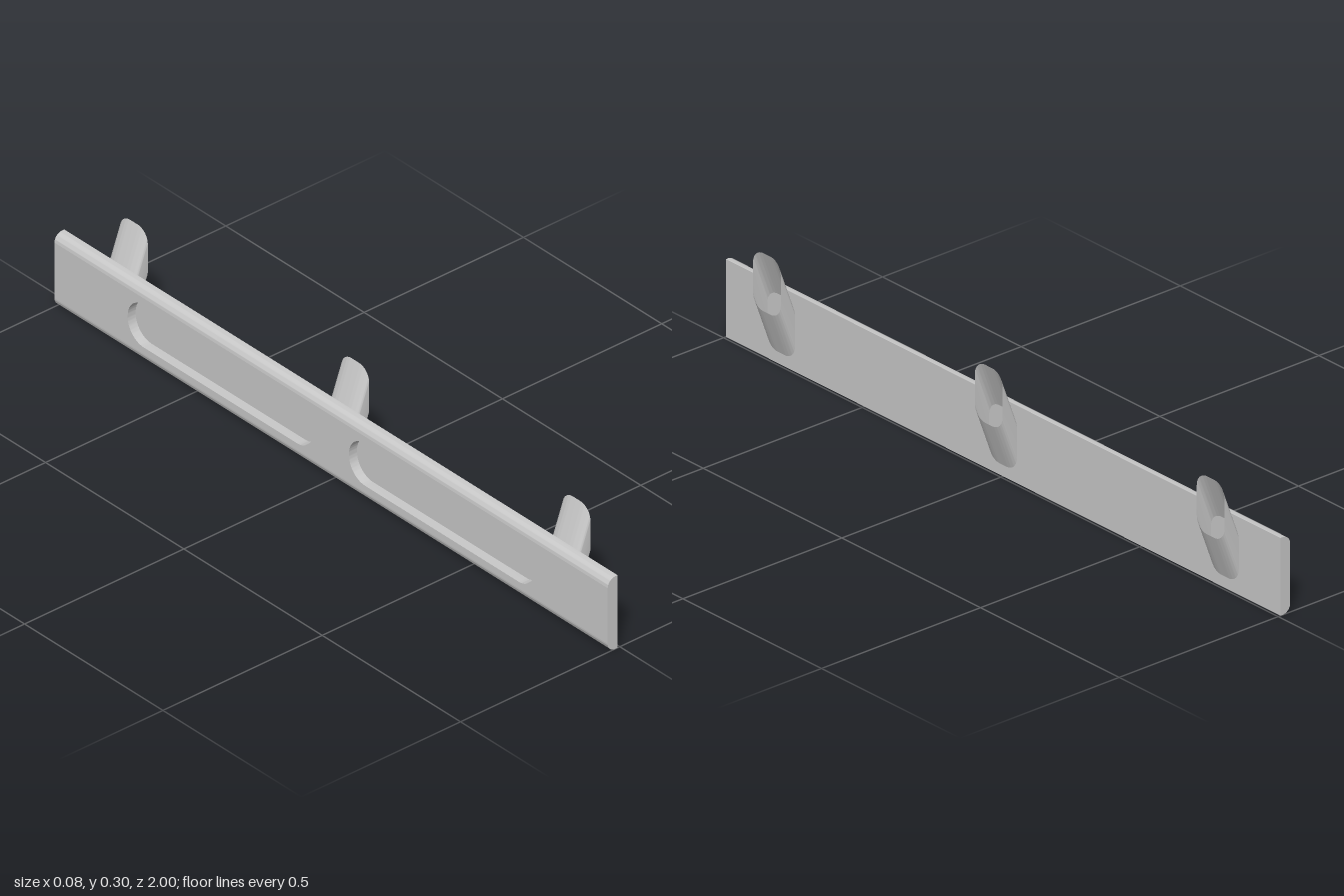
import * as THREE from 'three';
import { toCreasedNormals } from 'three/addons/utils/BufferGeometryUtils.js';

const BACK = -0.038, FRONT = -0.007, TIP = 0.038; // x planes
const HEIGHT = 0.205, ROUND = 0.024, POCKET_DEPTH = 0.025;

// Rounded rectangle centred on (cx, cy)
function roundedRect(cx, cy, w, h, r, C = THREE.Shape) {
  const s = new C(), x = w / 2 - r, y = h / 2 - r;
  s.absarc(cx + x, cy + y, r, 0, Math.PI / 2);
  s.absarc(cx - x, cy + y, r, Math.PI / 2, Math.PI);
  s.absarc(cx - x, cy - y, r, Math.PI, Math.PI * 1.5);
  s.absarc(cx + x, cy - y, r, Math.PI * 1.5, Math.PI * 2);
  s.closePath();
  return s;
}

// Strip of faces joining two matching rows of points
function loft(a, b) {
  const n = a.length, index = [];
  for (let i = 0; i < n - 1; i++) index.push(i, i + 1, n + i, i + 1, n + i + 1, n + i);
  const g = new THREE.BufferGeometry().setFromPoints([...a, ...b]);
  g.setIndex(index);
  g.computeVertexNormals();
  return g;
}

export function createModel() {
  const group = new THREE.Group();
  const grey = new THREE.MeshStandardMaterial({ color: 0xc8c8c8, side: THREE.DoubleSide });
  grey.name = 'light grey';

  const add = (geometry, name, parent = group) => {
    const mesh = new THREE.Mesh(geometry, grey);
    mesh.name = name;
    parent.add(mesh);
    return mesh;
  };

  // Rail: flat front, long back edges rounded
  const rail = new THREE.Group();
  rail.name = 'rail';
  group.add(rail);
  const profile = new THREE.Shape();
  profile.moveTo(BACK, ROUND);
  profile.absarc(BACK + ROUND, ROUND, ROUND, Math.PI, Math.PI * 1.5);
  profile.lineTo(FRONT, 0);
  profile.lineTo(FRONT, HEIGHT);
  profile.lineTo(BACK + ROUND, HEIGHT);
  profile.absarc(BACK + ROUND, HEIGHT - ROUND, ROUND, Math.PI / 2, Math.PI);
  const section = profile.getPoints(10);
  const atZ = (z) => section.map((p) => new THREE.Vector3(p.x, p.y, z));
  add(toCreasedNormals(loft(atZ(-1), atZ(1)), 0.6), 'railShell', rail);
  for (const z of [-1, 1]) add(new THREE.ShapeGeometry(profile, 10).translate(0, 0, z), 'railEnd', rail);

  // Back face with two long rounded pockets
  const face = new THREE.Shape([[-1, ROUND], [1, ROUND], [1, HEIGHT - ROUND], [-1, HEIGHT - ROUND]]
    .map(([z, y]) => new THREE.Vector2(z, y)));
  const slotArgs = (side) => [side * 0.4, HEIGHT / 2, 0.67, 0.12, 0.058];
  for (const side of [-1, 1]) {
    face.holes.push(roundedRect(...slotArgs(side), THREE.Path));
    const slot = roundedRect(...slotArgs(side));
    const rim = slot.getPoints(10);
    const atX = (x) => rim.map((p) => new THREE.Vector3(x, p.y, p.x));
    const floorX = BACK + POCKET_DEPTH;
    add(toCreasedNormals(loft(atX(BACK), atX(floorX)), 0.6), 'pocketWall', rail);
    add(new THREE.ShapeGeometry(slot, 10).rotateY(-Math.PI / 2).translate(floorX, 0, 0), 'pocketFloor', rail);
  }
  add(new THREE.ShapeGeometry(face, 10).rotateY(-Math.PI / 2).translate(BACK, 0, 0), 'railBack', rail);

  // Hooks: open, hollow sleeves slanting up and away from the rail
  const sleeve = roundedRect(0, 0, 0.1, 0.153, 0.037).getPoints(8);
  const ring = (x, y) => sleeve.map((p) => new THREE.Vector3(x, p.y + y, p.x));
  const hookGeometry = toCreasedNormals(loft(ring(TIP, 0.2275), ring(FRONT, 0.1065)), 0.9);
  for (const z of [-0.8, 0, 0.8]) add(hookGeometry, 'hook').position.z = z;

  return group;
}
